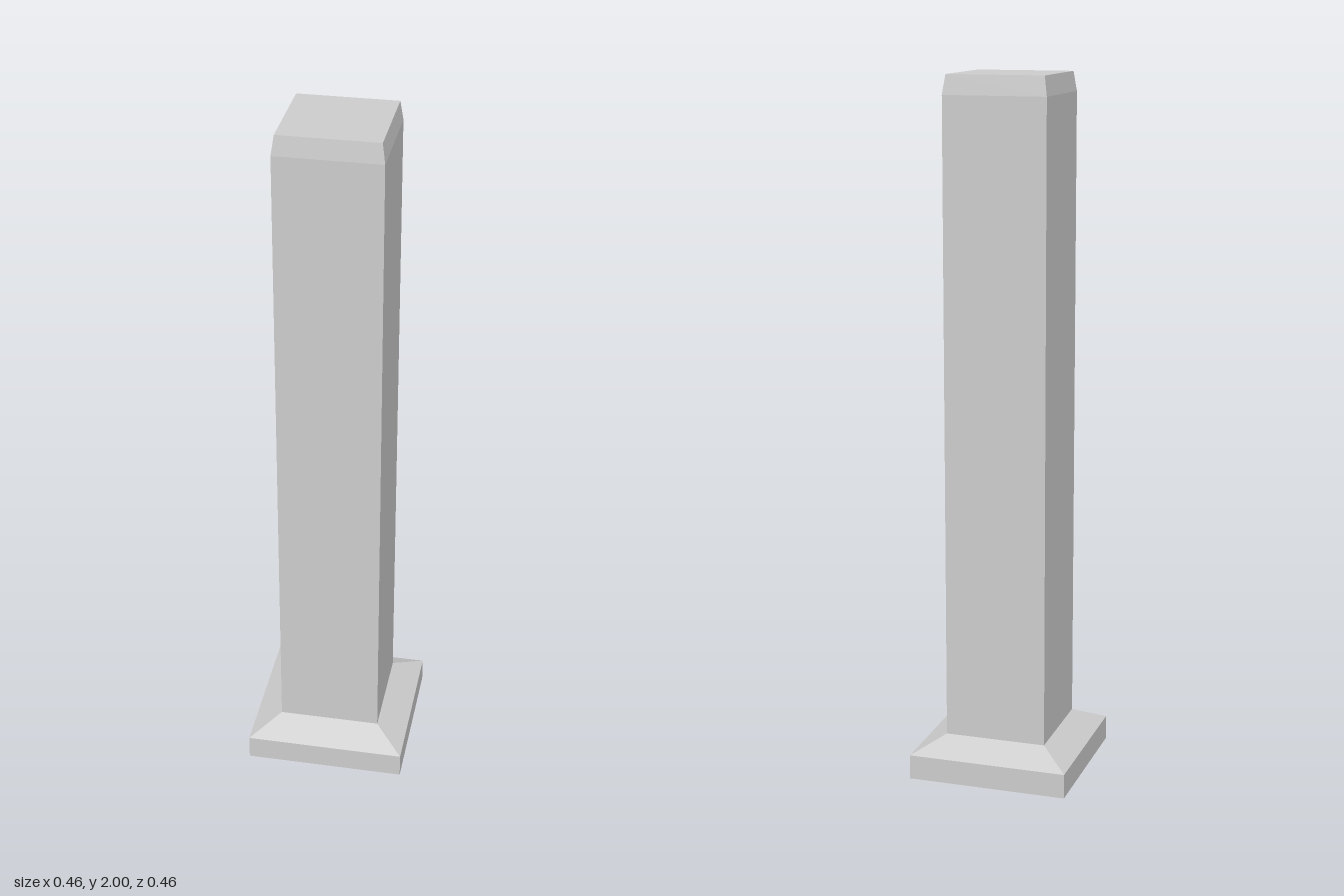
import * as THREE from 'three';

const material = new THREE.MeshStandardMaterial({ color: 0xcccccc, flatShading: true });

// Square part from a profile of [half width, height], running from bottom to top
function squareProfile(name, profile) {
  const points = profile.map(([half, y]) => new THREE.Vector2(half * Math.SQRT2, y));
  const geometry = new THREE.LatheGeometry(points, 4).rotateY(Math.PI / 4).toNonIndexed();
  geometry.computeVertexNormals();
  const mesh = new THREE.Mesh(geometry, material);
  mesh.name = name;
  return mesh;
}

export function createModel() {
  const group = new THREE.Group();
  group.name = 'post';

  // Flared foot with a sloped recess underneath
  group.add(squareProfile('base', [
    [0, 0.045], [0.147, 0.045], [0.231, 0], [0.231, 0.071], [0.147, 0.116],
  ]));

  // Square shaft with a narrow chamfer around the flat top
  group.add(squareProfile('shaft', [
    [0.147, 0.116], [0.147, 1.945], [0.139, 2], [0, 2],
  ]));

  return group;
}
